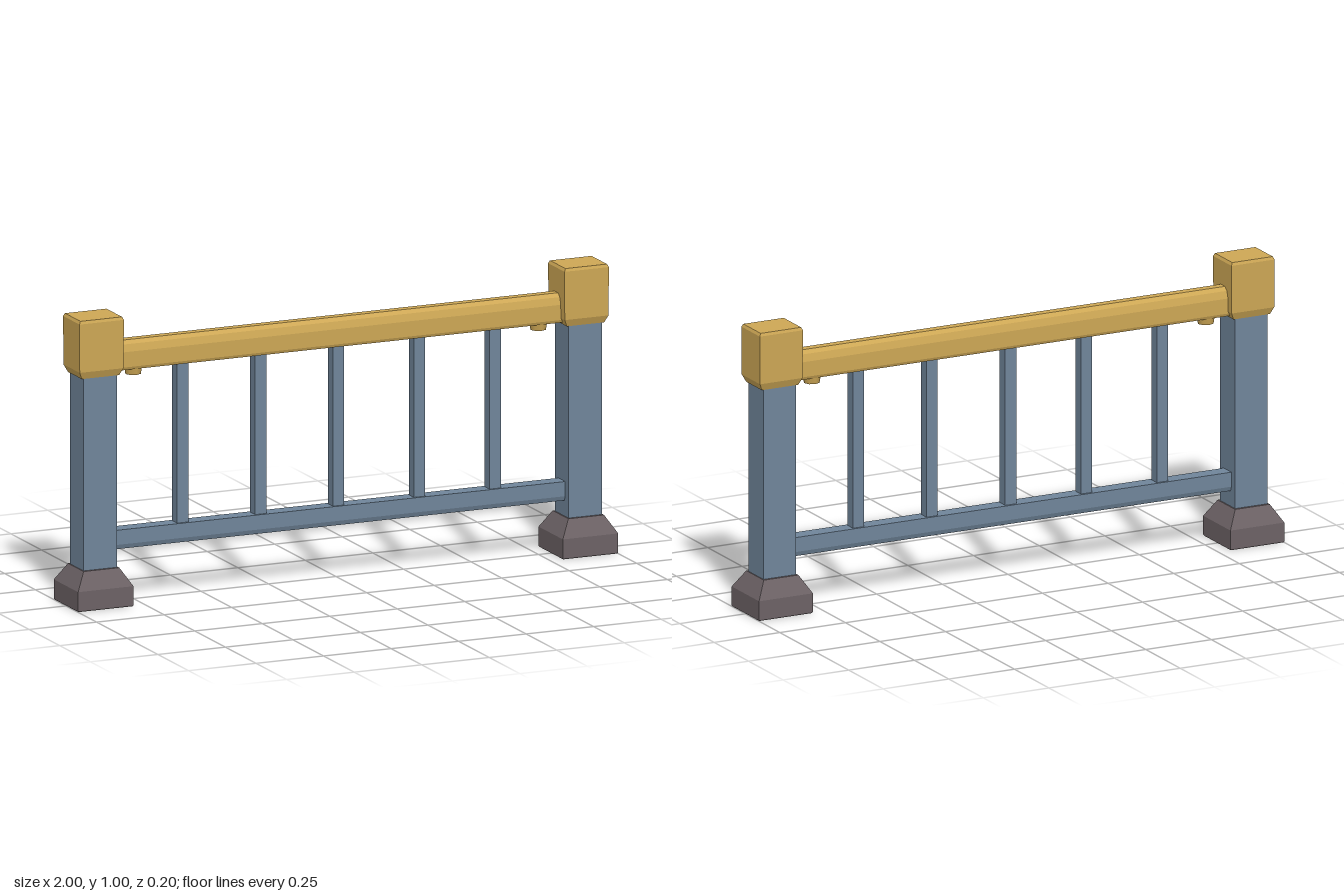
import * as THREE from 'three';

const gold = new THREE.MeshStandardMaterial({ color: 0xcda755 });
gold.name = 'gold';
const steel = new THREE.MeshStandardMaterial({ color: 0x70859a });
steel.name = 'blueSteel';
const stone = new THREE.MeshStandardMaterial({ color: 0x6c6265 });
stone.name = 'darkStone';

// Four-sided solid from [half width, y] steps, stretched to the given depth ratio
function squareStack(steps, depthRatio) {
  const pts = steps.map(([half, y]) => new THREE.Vector2(half * Math.SQRT2, y));
  pts.unshift(new THREE.Vector2(0, steps[0][1]));
  pts.push(new THREE.Vector2(0, steps[steps.length - 1][1]));
  const geo = new THREE.LatheGeometry(pts, 4, Math.PI / 4).toNonIndexed();
  geo.scale(1, 1, depthRatio);
  geo.computeVertexNormals();
  return geo;
}

// Bar running along x from a [z, y] outline
function bar(outline, length) {
  const shape = new THREE.Shape(outline.map(([z, y]) => new THREE.Vector2(-z, y)));
  const geo = new THREE.ExtrudeGeometry(shape, { depth: length, bevelEnabled: false });
  geo.translate(0, 0, -length / 2);
  geo.rotateY(Math.PI / 2);
  return geo;
}

export function createModel() {
  const model = new THREE.Group();
  model.name = 'railing';
  const add = (parent, name, geo, mat, x = 0, y = 0, z = 0) => {
    const mesh = new THREE.Mesh(geo, mat);
    mesh.name = name;
    mesh.position.set(x, y, z);
    parent.add(mesh);
    return mesh;
  };

  // End posts: flared foot, shaft, capital and the bracket peg under the rail
  const foot = squareStack([[0.1, 0], [0.1025, 0.004], [0.1025, 0.07], [0.066, 0.13]], 0.97);
  const shaft = new THREE.BoxGeometry(0.124, 0.7, 0.11);
  const cap = squareStack([[0.069, 0.797], [0.081, 0.822], [0.082, 0.99], [0.077, 1]], 0.82);
  const peg = new THREE.CylinderGeometry(0.034, 0.028, 0.034, 8);
  for (const side of [-1, 1]) {
    const post = new THREE.Group();
    post.name = side > 0 ? 'leftPost' : 'rightPost';
    model.add(post);
    add(post, 'foot', foot, stone, side * 0.8975);
    add(post, 'shaft', shaft, steel, side * 0.898, 0.46);
    add(post, 'cap', cap, gold, side * 0.898);
    add(post, 'railPeg', peg, gold, side * 0.75, 0.799, -0.004);
  }

  // Handrail with softened upper edges
  add(model, 'handrail', bar([
    [-0.036, 0.805], [0.03, 0.805], [0.034, 0.815], [0.034, 0.868], [0.026, 0.893],
    [0.012, 0.905], [-0.018, 0.905], [-0.032, 0.893], [-0.04, 0.868], [-0.04, 0.815],
  ], 1.68), gold);

  // Lower rail with a narrow bottom lip
  add(model, 'lowerRail', bar([
    [-0.022, 0.184], [0.022, 0.184], [0.028, 0.2], [0.028, 0.251], [-0.028, 0.251], [-0.028, 0.2],
  ], 1.7), steel);

  // Balusters
  const baluster = new THREE.BoxGeometry(0.042, 0.6, 0.04);
  for (const x of [-0.577, -0.288, 0, 0.3, 0.58]) add(model, 'baluster', baluster, steel, x, 0.52);

  return model;
}
